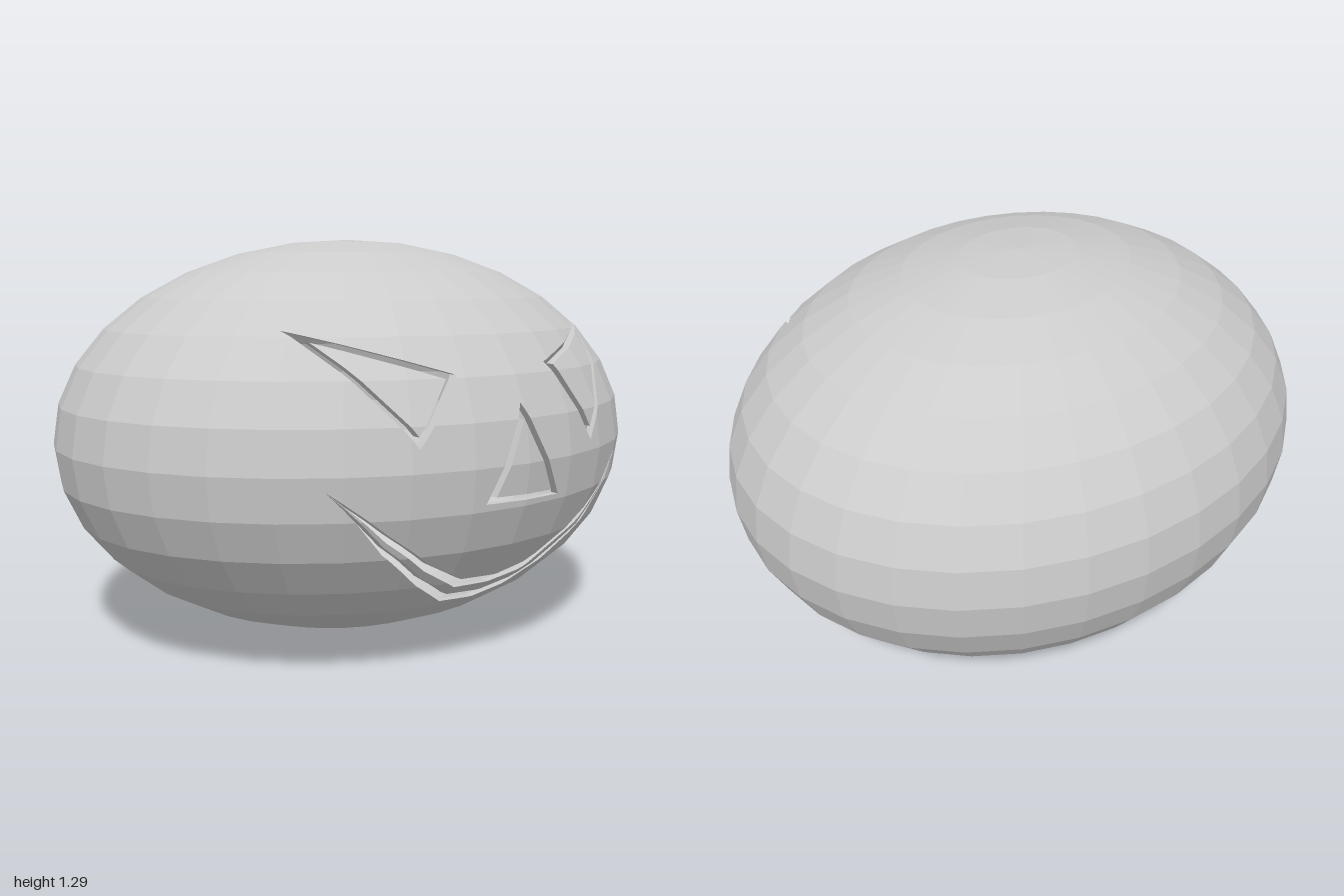
import * as THREE from 'three';

const RADII = new THREE.Vector3(1, 0.645, 0.848);
const CENTRE_Y = 0.65, COLUMNS = 32, ROWS = 16, WALL = 0.025;

// Carved outlines, each a strip between an outer and an inner line in x, y
const triangles = [
  { outer: [[-0.59, 1.025], [-0.355, 0.715], [-0.205, 0.905]], inner: [[-0.545, 0.995], [-0.355, 0.748], [-0.24, 0.895]] },
  { outer: [[0.585, 1.037], [0.15, 0.925], [0.325, 0.68]], inner: [[0.54, 1.008], [0.19, 0.915], [0.325, 0.722]] },
  { outer: [[-0.01, 0.82], [-0.145, 0.545], [0.15, 0.54]], inner: [[-0.01, 0.775], [-0.11, 0.562], [0.115, 0.557]] },
];
// Mouth columns: x, then the four lines from top to bottom
const mouth = [
  [-0.59, 0.61, 0.61, 0.61, 0.61],
  [-0.42, 0.48, 0.458, 0.442, 0.42],
  [-0.27, 0.375, 0.35, 0.328, 0.3],
  [-0.12, 0.3, 0.268, 0.24, 0.21],
  [0.02, 0.293, 0.263, 0.23, 0.2],
  [0.13, 0.312, 0.28, 0.25, 0.22],
  [0.27, 0.395, 0.37, 0.338, 0.31],
  [0.42, 0.492, 0.47, 0.452, 0.43],
  [0.57, 0.63, 0.63, 0.63, 0.63],
];

// Strip piece, corners counter-clockwise; its sides 0 and 2 run along the line
function strip(o0, o1, i1, i0) {
  const corners = [o0, o1, i1, i0].map(([x, y]) => new THREE.Vector2(x, y));
  return THREE.ShapeUtils.area(corners) < 0 ? corners.reverse() : corners;
}

function makeSlits() {
  const slits = [];
  for (const { outer, inner } of triangles) {
    for (let k = 0; k < 3; k++) {
      const n = (k + 1) % 3;
      slits.push(strip(outer[k], outer[n], inner[n], inner[k]));
    }
  }
  for (let k = 0; k < mouth.length - 1; k++) {
    const a = mouth[k], b = mouth[k + 1];
    for (const top of [1, 3]) {
      slits.push(strip([a[0], a[top]], [b[0], b[top]], [b[0], b[top + 1]], [a[0], a[top + 1]]));
    }
  }
  return slits;
}

const side = (p, a, b) => (b.x - a.x) * (p.y - a.y) - (b.y - a.y) * (p.x - a.x);

// Divide a convex polygon along the line a-b, as seen from the front
function split(poly, a, b) {
  const left = [], right = [];
  poly.forEach((p, k) => {
    const q = poly[(k + 1) % poly.length];
    const sp = side(p, a, b), sq = side(q, a, b);
    if (sp >= -1e-9) left.push(p);
    if (sp <= 1e-9) right.push(p);
    if ((sp > 1e-9 && sq < -1e-9) || (sp < -1e-9 && sq > 1e-9)) {
      const m = p.clone().lerp(q, sp / (sp - sq));
      left.push(m);
      right.push(m);
    }
  });
  return [left, right];
}

// Take a slit out of a polygon: the pieces kept and the piece removed
function subtract(poly, slit) {
  const kept = [];
  let rest = poly;
  for (let k = 0; k < 4 && rest.length > 2; k++) {
    const a = slit[k], b = slit[(k + 1) % 4];
    if (a.distanceTo(b) < 1e-6) continue;
    const [left, right] = split(rest, a, b);
    if (right.length > 2) kept.push(right);
    rest = left;
  }
  return rest.length > 2 ? { kept, removed: rest } : { kept: [poly], removed: null };
}

function addPolygon(list, poly) {
  for (let k = 1; k < poly.length - 1; k++) {
    for (const p of [poly[0], poly[k], poly[k + 1]]) list.push(p.x, p.y, p.z);
  }
}

// Matching point on the inside of the hollow body
const inside = (p) => new THREE.Vector3(p.x, p.y, Math.abs(p.z) < 1e-6 ? p.z : p.z - Math.sign(p.z) * WALL);

function bodyPoint(row, column) {
  const lat = (row / ROWS) * Math.PI, lon = (column / COLUMNS) * Math.PI * 2;
  return new THREE.Vector3(Math.sin(lat) * Math.sin(lon), Math.cos(lat), Math.sin(lat) * Math.cos(lon))
    .multiply(RADII).add(new THREE.Vector3(0, CENTRE_Y, 0));
}

export function createModel() {
  const outer = [], inner = [], walls = [];
  const slits = makeSlits();

  for (let row = 0; row < ROWS; row++) {
    for (let col = 0; col < COLUMNS; col++) {
      // One facet of the body; the pole facets are triangles
      const facet = [bodyPoint(row, col), bodyPoint(row + 1, col), bodyPoint(row + 1, col + 1), bodyPoint(row, col + 1)];
      if (row === 0) facet.pop();
      if (row === ROWS - 1) facet.splice(1, 1);
      let pieces = [facet];

      // Carve the face through the front facets
      if (facet.every((p) => p.z > 0.05)) {
        for (const slit of slits) {
          pieces = pieces.flatMap((piece) => {
            const { kept, removed } = subtract(piece, slit);
            if (removed) addWalls(removed, slit);
            return kept;
          });
        }
      }
      for (const piece of pieces) {
        addPolygon(outer, piece);
        addPolygon(inner, piece.map(inside).reverse());
      }
    }
  }

  // Cut edges through the thickness of the body
  function addWalls(piece, slit) {
    piece.forEach((p, k) => {
      const q = piece[(k + 1) % piece.length];
      const onCut = [0, 2].some((s) => [p, q].every((v) => Math.abs(side(v, slit[s], slit[(s + 1) % 4])) < 1e-8));
      if (onCut) addPolygon(walls, [p, q, inside(q), inside(p)]);
    });
  }

  const material = new THREE.MeshStandardMaterial({ color: 0xcccccc, flatShading: true });
  const group = new THREE.Group();
  group.name = 'carvedPumpkin';
  for (const [name, positions] of Object.entries({ outerShell: outer, innerShell: inner, carvedEdges: walls })) {
    const geometry = new THREE.BufferGeometry();
    geometry.setAttribute('position', new THREE.Float32BufferAttribute(positions, 3));
    geometry.computeVertexNormals();
    const mesh = new THREE.Mesh(geometry, material);
    mesh.name = name;
    group.add(mesh);
  }
  return group;
}
